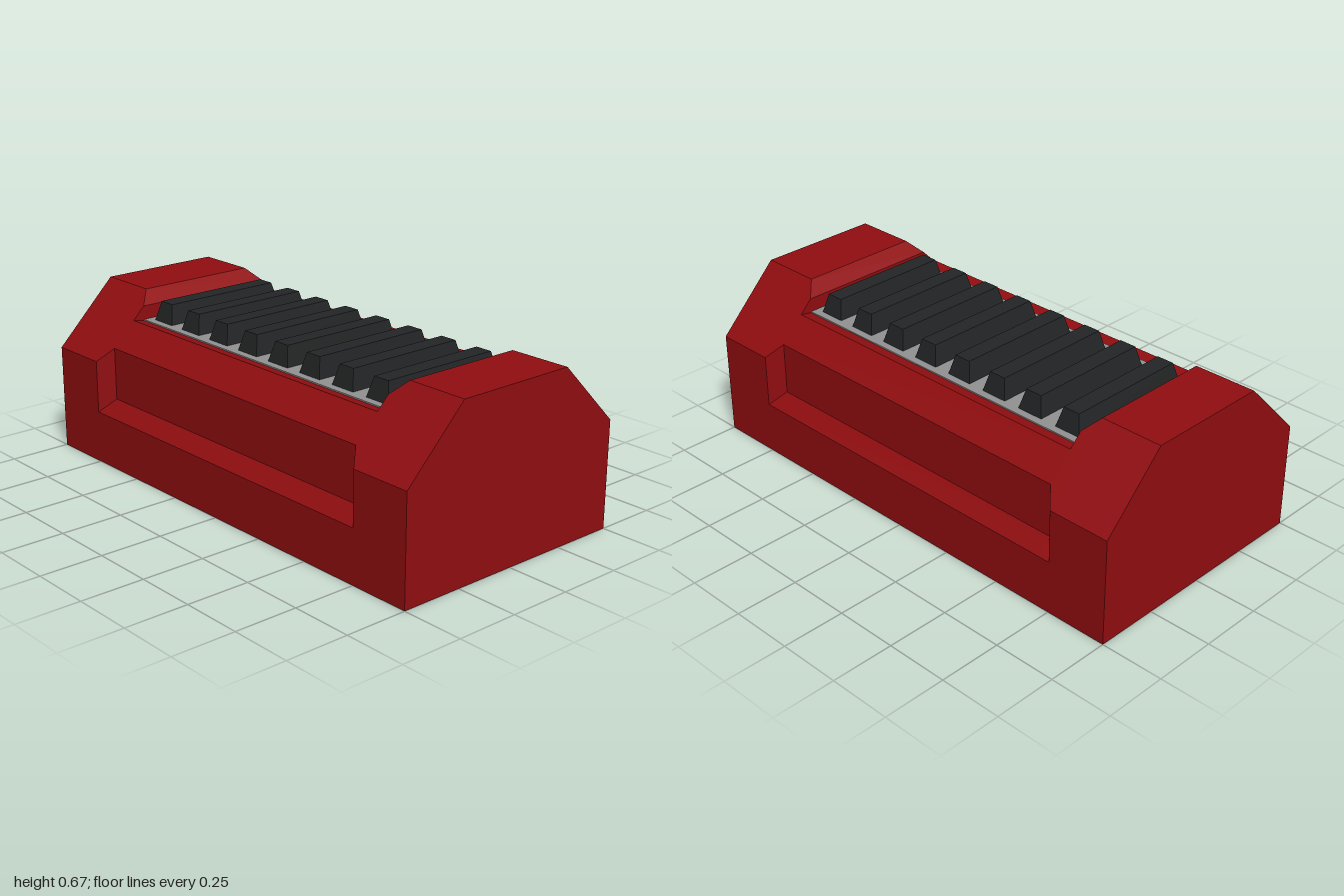
import * as THREE from 'three';

const red = new THREE.MeshStandardMaterial({ color: 0x900d10, flatShading: true });
const grey = new THREE.MeshStandardMaterial({ color: 0x919191, flatShading: true });
const black = new THREE.MeshStandardMaterial({ color: 0x222425, flatShading: true });

// Front half of each cross-section as [z, y], from the base up to the middle of the top
const END = [[0.5, 0], [0.5, 0.21], [0.5, 0.21], [0.5, 0.42], [0.25, 0.67], [0.25, 0.67]];
const BEVEL = [[0.5, 0], [0.5, 0.21], [0.445, 0.265], [0.445, 0.475], [0.3, 0.62], [0.3, 0.62]];
const MIDDLE = [[0.5, 0], [0.5, 0.21], [0.445, 0.265], [0.445, 0.475], [0.35, 0.57], [0.3, 0.56]];

// Loft the sections along x, mirrored front to back and end to end
function bodyGeometry() {
  const half = [[1, END], [0.75, END], [0.7, BEVEL], [0.7, MIDDLE]];
  const sections = [...half.map(([x, s]) => [-x, s]), ...half.slice().reverse()];
  const rings = sections.map(([x, s]) => {
    const front = s.map(([z, y]) => new THREE.Vector3(x, y, z));
    const back = s.map(([z, y]) => new THREE.Vector3(x, y, -z)).reverse();
    return [...front, ...back];
  });
  const positions = [];
  const tri = (a, b, c) => {
    if (new THREE.Triangle(a, b, c).getArea() < 1e-6) return;
    for (const p of [a, b, c]) positions.push(p.x, p.y, p.z);
  };
  const n = rings[0].length;
  for (let i = 0; i < rings.length - 1; i++) {
    for (let j = 0; j < n; j++) {
      const k = (j + 1) % n;
      const [r, s] = [rings[i], rings[i + 1]];
      tri(r[j], s[j], s[k]);
      tri(r[j], s[k], r[k]);
    }
  }
  // End caps
  const first = rings[0], last = rings[rings.length - 1];
  for (let j = 1; j < n - 1; j++) {
    tri(first[0], first[j], first[j + 1]);
    tri(last[0], last[j + 1], last[j]);
  }
  const geometry = new THREE.BufferGeometry();
  geometry.setAttribute('position', new THREE.Float32BufferAttribute(positions, 3));
  geometry.computeVertexNormals();
  return geometry;
}

// Box whose top face is drawn in on all four sides
function railGeometry(width, height, depth, topWidth, topDepth) {
  const geometry = new THREE.BoxGeometry(width, height, depth).toNonIndexed();
  const p = geometry.attributes.position;
  for (let i = 0; i < p.count; i++) {
    if (p.getY(i) > 0) {
      p.setX(i, Math.sign(p.getX(i)) * topWidth / 2);
      p.setZ(i, Math.sign(p.getZ(i)) * topDepth / 2);
    }
  }
  geometry.computeVertexNormals();
  return geometry;
}

export function createModel() {
  const model = new THREE.Group();
  model.name = 'ribbedBlock';

  const body = new THREE.Mesh(bodyGeometry(), red);
  body.name = 'body';
  model.add(body);

  // Plate in the floor of the top recess
  const plate = new THREE.Mesh(new THREE.BoxGeometry(1.4, 0.04, 0.6), grey);
  plate.name = 'plate';
  plate.position.y = 0.545;
  model.add(plate);

  // Row of eight tapered cross rails
  const rails = new THREE.Group();
  rails.name = 'rails';
  const geometry = railGeometry(0.11, 0.08, 0.54, 0.07, 0.5);
  for (let i = 0; i < 8; i++) {
    const rail = new THREE.Mesh(geometry, black);
    rail.name = 'rail';
    rail.position.set((i - 3.5) * 0.175, 0.602, 0);
    rails.add(rail);
  }
  model.add(rails);

  return model;
}
